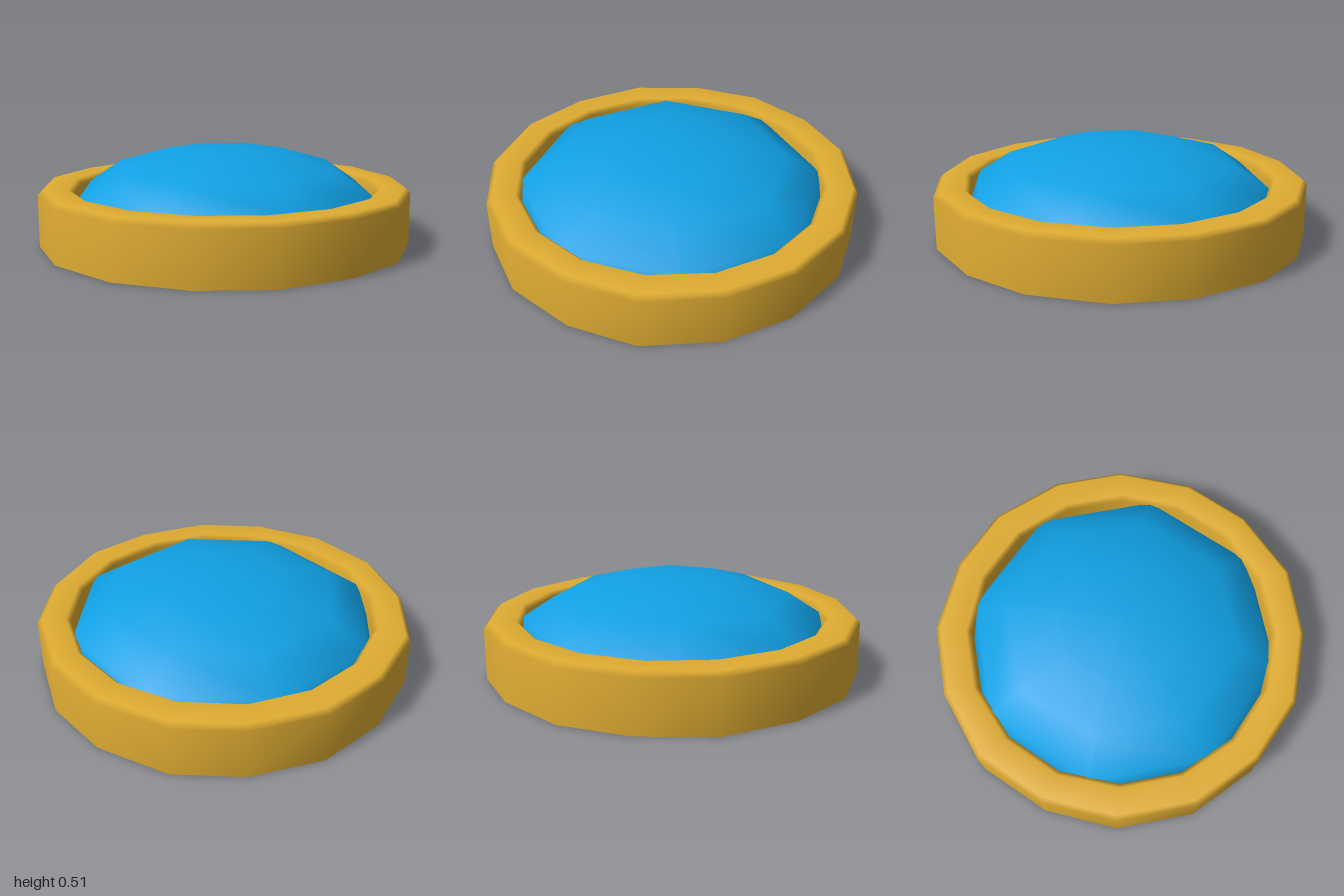
import * as THREE from 'three';

const SIDES = 16;

// Slightly uneven hand-made outline of the casing, clockwise from the back (x, z)
const OUTLINE = [
  [-0.165, -0.997], [0.22, -0.995], [0.583, -0.827], [0.843, -0.572],
  [0.99, -0.194], [0.99, 0.184], [0.828, 0.566], [0.562, 0.829],
  [0.185, 0.995], [-0.19, 0.982], [-0.56, 0.84], [-0.83, 0.566],
  [-0.993, 0.205], [-0.993, -0.215], [-0.827, -0.577], [-0.54, -0.868],
];

// Ring of points following the casing outline
function outerRing(scale, y) {
  return OUTLINE.map(([x, z]) => [x * scale, y, z * scale]);
}

// Regular ring around the opening
function innerRing(radius, y) {
  return OUTLINE.map((_, i) => {
    const a = ((i - 0.5) / SIDES) * Math.PI * 2;
    return [radius * Math.sin(a), y, -radius * Math.cos(a)];
  });
}

// Joins successive rings into one smooth-shaded skin
function loft(rings) {
  const index = [];
  for (let r = 0; r < rings.length - 1; r++) {
    for (let i = 0; i < SIDES; i++) {
      const n = (i + 1) % SIDES;
      const a = r * SIDES + i, an = r * SIDES + n;
      const b = a + SIDES, bn = an + SIDES;
      index.push(an, a, b, an, b, bn);
    }
  }
  const geometry = new THREE.BufferGeometry();
  geometry.setAttribute('position', new THREE.Float32BufferAttribute(rings.flat(2), 3));
  geometry.setIndex(index);
  geometry.computeVertexNormals();
  return geometry;
}

export function createModel() {
  const model = new THREE.Group();
  model.name = 'domedButton';

  const gold = new THREE.MeshStandardMaterial({ color: 0xdfac32 });
  gold.name = 'gold';
  const blue = new THREE.MeshStandardMaterial({ color: 0x10a0e4 });
  blue.name = 'blue';

  const add = (name, geometry, material) => {
    const mesh = new THREE.Mesh(geometry, material);
    mesh.name = name;
    model.add(mesh);
    return mesh;
  };

  // Casing: outer wall, bevelled rim and inner wall of the opening
  add('casing', loft([
    outerRing(1, 0),
    outerRing(1, 0.28),
    outerRing(0.974, 0.305),
    innerRing(0.85, 0.305),
    innerRing(0.825, 0.28),
    innerRing(0.825, 0.1),
  ]), gold);

  // Flat underside
  const base = new THREE.ShapeGeometry(
    new THREE.Shape(OUTLINE.map(([x, z]) => new THREE.Vector2(x, z))));
  base.rotateX(Math.PI / 2);
  add('base', base, gold);

  // Flattened eight-sided dome sitting in the opening
  const dome = new THREE.SphereGeometry(0.9, 8, 4, 0, Math.PI * 2, 0, Math.PI / 2);
  dome.rotateY(Math.PI / 8);
  dome.scale(1, 0.39 / 0.9, 1);
  add('dome', dome, blue).position.y = 0.125;

  return model;
}
